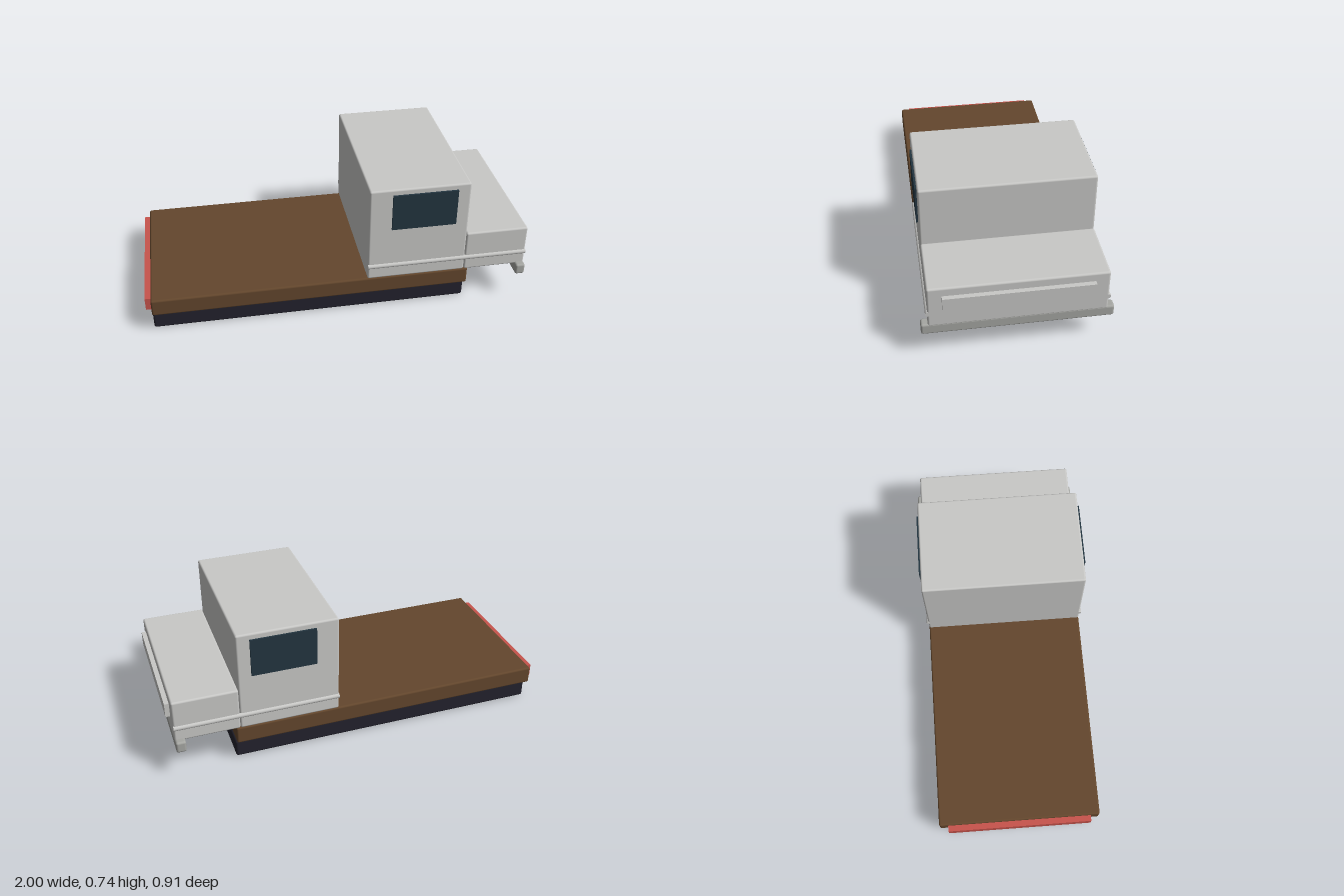
import * as THREE from 'three';
import { RoundedBoxGeometry } from 'three/addons/geometries/RoundedBoxGeometry.js';

const material = (name, color) => {
  const m = new THREE.MeshStandardMaterial({ color });
  m.name = name;
  return m;
};

export function createModel() {
  const group = new THREE.Group();
  const paint = material('pale grey paint', 0xc9c9c7);
  const metal = material('grey metal', 0xa6a7a3);
  const wood = material('brown wood', 0x64472d);
  const dark = material('dark frame', 0x23222d);
  const glass = material('dark glass', 0x233540);
  const red = material('red lamp', 0xc8544c);

  const add = (name, geometry, mat, x, y, z) => {
    const mesh = new THREE.Mesh(geometry, mat);
    mesh.name = name;
    mesh.position.set(x, y, z);
    group.add(mesh);
    return mesh;
  };

  // Box from its x and y limits and half its depth; a radius rounds the edges
  const box = (name, mat, x0, x1, y0, y1, halfZ, radius = 0) => {
    const size = [x1 - x0, y1 - y0, 2 * halfZ];
    const geometry = radius
      ? new RoundedBoxGeometry(...size, 3, radius)
      : new THREE.BoxGeometry(...size);
    return add(name, geometry, mat, (x0 + x1) / 2, (y0 + y1) / 2, 0);
  };

  // Frame and flat bed
  box('chassis', dark, -0.97, 0.67, 0, 0.092, 0.375, 0.012);
  box('flatBed', wood, -0.97, 0.67, 0.117, 0.21, 0.422, 0.01);

  // Cab and bonnet
  box('cab', paint, 0.135, 0.647, 0.208, 0.735, 0.422, 0.01);
  box('bonnet', paint, 0.648, 0.975, 0.208, 0.432, 0.422, 0.01);

  // Nose and tail fittings
  box('grillePanel', paint, 0.97, 0.998, 0.314, 0.387, 0.354);
  box('bumper', metal, 0.925, 0.975, 0.16, 0.22, 0.455, 0.011);
  box('tailLamp', red, -1, -0.968, 0.125, 0.193, 0.375);

  // Side windows and trim rails
  for (const [side, s] of [['left', -1], ['right', 1]].map(([n, v]) => [n, v])) {
    add(side + 'Window', new THREE.BoxGeometry(0.33, 0.198, 0.0095), glass, 0.415, 0.606, s * 0.4267);
    const rail = add(side + 'Rail', new THREE.CylinderGeometry(0.013, 0.013, 0.84, 16), paint, 0.555, 0.284, s * 0.419);
    rail.rotation.z = Math.PI / 2;
  }
  return group;
}
